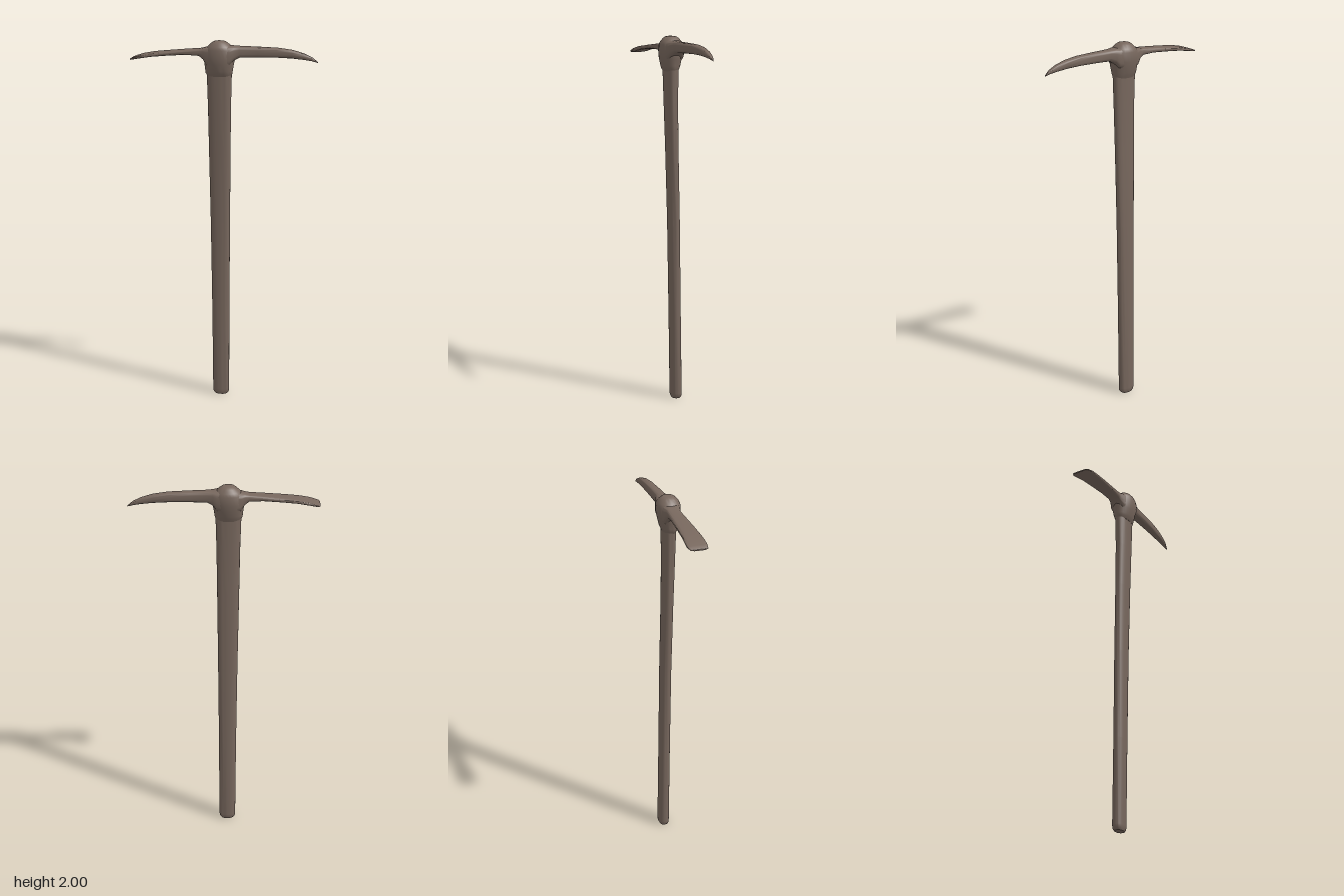
import * as THREE from 'three';
import { toCreasedNormals } from 'three/addons/utils/BufferGeometryUtils.js';

// Skins rounded cross-sections stacked along 'x' or 'y'.
// Section: [position, min1, max1, min2, max2], spans being (y, z) along x or (x, z) along y.
function loft(sections, axis, square, sides = 28) {
  const rows = [...sections];
  const flat = ([p, a, b, c, d]) => [p, (a + b) / 2, (a + b) / 2, (c + d) / 2, (c + d) / 2];
  rows.unshift(flat(sections[0]));
  rows.push(flat(sections[sections.length - 1]));
  const bend = (v) => Math.sign(v) * Math.abs(v) ** (2 / square);
  const pos = [];
  const index = [];
  rows.forEach(([p, a, b, c, d], r) => {
    for (let i = 0; i < sides; i++) {
      const t = (i / sides) * Math.PI * 2;
      const co = bend(Math.cos(t));
      const si = bend(Math.sin(t));
      const u = (a + b) / 2 + ((b - a) / 2) * (axis === 'x' ? co : si);
      const w = (c + d) / 2 + ((d - c) / 2) * (axis === 'x' ? si : co);
      if (axis === 'x') pos.push(p, u, w);
      else pos.push(u, p, w);
      if (r === rows.length - 1) continue;
      const j = (i + 1) % sides;
      const k = r * sides;
      if (r > 0) index.push(k + i, k + j, k + sides + i);
      if (r < rows.length - 2) index.push(k + j, k + sides + j, k + sides + i);
      else index.push(k + i, k + j, k + sides + i);
      if (r === 0) index.push(k + j, k + sides + j, k + sides + i);
    }
  });
  const g = new THREE.BufferGeometry();
  g.setAttribute('position', new THREE.Float32BufferAttribute(pos, 3));
  g.setIndex(index);
  return toCreasedNormals(g, 0.75);
}

export function createModel() {
  const group = new THREE.Group();
  const brown = new THREE.MeshStandardMaterial({ color: 0x77675d });
  brown.name = 'weathered brown';
  const add = (name, geometry) => {
    const mesh = new THREE.Mesh(geometry, brown);
    mesh.name = name;
    group.add(mesh);
  };

  // Long oval handle, leaning slightly and widening toward the head
  add('handle', loft([
    [0, -0.054, 0.012, -0.05, -0.004],
    [0.012, -0.064, 0.022, -0.056, 0.001],
    [0.03, -0.066, 0.024, -0.057, 0.002],
    [0.5, -0.069, 0.026, -0.05, 0.007],
    [1.0, -0.075, 0.03, -0.043, 0.013],
    [1.4, -0.082, 0.034, -0.034, 0.022],
    [1.65, -0.086, 0.037, -0.031, 0.03],
    [1.85, -0.092, 0.042, -0.033, 0.036],
  ], 'y', 2.4));

  // Swollen eye of the head with a lower collar and domed top
  add('eye', loft([
    [1.815, -0.088, 0.038, -0.034, 0.037],
    [1.83, -0.097, 0.045, -0.04, 0.045],
    [1.845, -0.099, 0.047, -0.046, 0.05],
    [1.88, -0.103, 0.053, -0.054, 0.058],
    [1.905, -0.108, 0.058, -0.06, 0.061],
    [1.955, -0.1, 0.055, -0.062, 0.061],
    [1.972, -0.085, 0.04, -0.055, 0.055],
    [1.988, -0.068, 0.022, -0.042, 0.042],
    [1.997, -0.055, 0.008, -0.03, 0.03],
    [2.0, -0.042, -0.006, -0.015, 0.016],
  ], 'y', 2.1));

  // Pointed pick arm
  add('pickArm', loft([
    [-0.01, 1.86, 1.98, -0.055, 0.055],
    [0.035, 1.872, 1.977, -0.051, 0.049],
    [0.055, 1.9, 1.975, -0.043, 0.036],
    [0.085, 1.915, 1.974, -0.034, 0.025],
    [0.18, 1.918, 1.972, -0.034, 0.019],
    [0.28, 1.919, 1.969, -0.035, 0.012],
    [0.36, 1.916, 1.959, -0.034, 0.006],
    [0.42, 1.91, 1.942, -0.031, 0],
    [0.46, 1.904, 1.924, -0.027, -0.006],
    [0.482, 1.898, 1.907, -0.023, -0.012],
    [0.491, 1.895, 1.899, -0.019, -0.015],
  ], 'x', 3.5));

  // Broad flat cutting arm
  add('chiselArm', loft([
    [-0.495, 1.892, 1.899, -0.022, 0.045],
    [-0.49, 1.893, 1.903, -0.035, 0.055],
    [-0.47, 1.897, 1.91, -0.045, 0.058],
    [-0.44, 1.902, 1.92, -0.045, 0.058],
    [-0.38, 1.911, 1.932, -0.042, 0.053],
    [-0.3, 1.918, 1.941, -0.04, 0.047],
    [-0.2, 1.924, 1.951, -0.037, 0.039],
    [-0.13, 1.92, 1.957, -0.035, 0.035],
    [-0.108, 1.902, 1.962, -0.037, 0.037],
    [-0.088, 1.872, 1.967, -0.046, 0.046],
    [-0.03, 1.86, 1.975, -0.055, 0.055],
  ], 'x', 4));

  return group;
}
